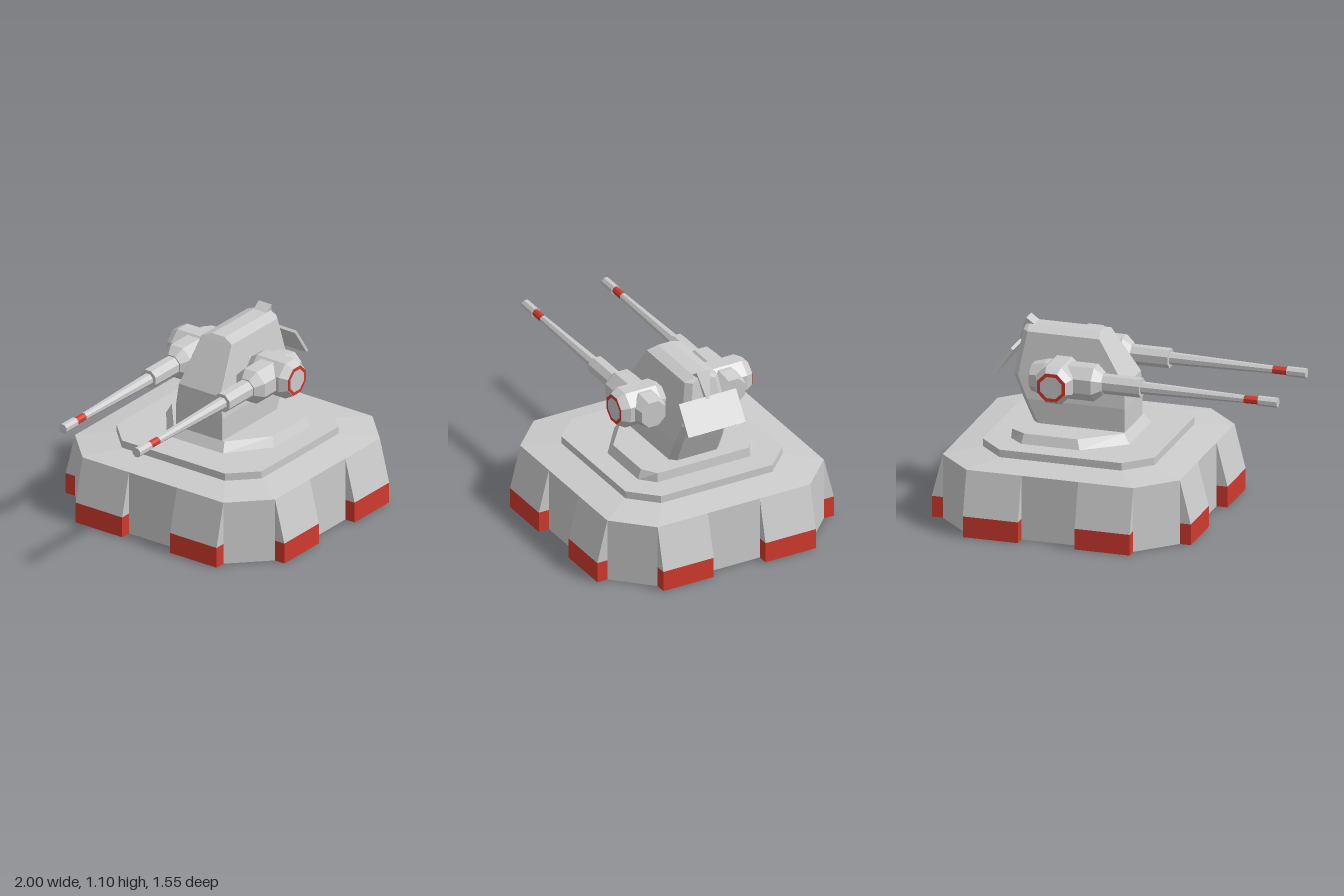
import * as THREE from 'three';

const grey = new THREE.MeshStandardMaterial({ color: 0xcccccc, flatShading: true });
const red = new THREE.MeshStandardMaterial({ color: 0xd03a2e, flatShading: true });

// Closed solid through equal-length rings (anticlockwise seen from above), lowest first
function loft(rings) {
  const n = rings[0].length, pos = [];
  const tri = (...p) => p.forEach(v => pos.push(...v));
  for (let k = 0; k < rings.length - 1; k++) {
    const a = rings[k], b = rings[k + 1];
    for (let i = 0; i < n; i++) {
      const j = (i + 1) % n;
      tri(a[i], a[j], b[j]);
      tri(a[i], b[j], b[i]);
    }
  }
  const lo = rings[0], hi = rings[rings.length - 1];
  for (let i = 1; i < n - 1; i++) {
    tri(hi[0], hi[i], hi[i + 1]);
    tri(lo[0], lo[i + 1], lo[i]);
  }
  const g = new THREE.BufferGeometry();
  g.setAttribute('position', new THREE.Float32BufferAttribute(pos, 3));
  g.computeVertexNormals();
  return g;
}

// Chamfered rectangle: x0..x1 by -w..w, chamfers reaching xL / xR along x and cL / cR along z
const octagon = (y, x0, xL, xR, x1, w, cL, cR = cL) => [
  [x1, y, cR], [x1, y, -cR], [xR, y, -w], [xL, y, -w],
  [x0, y, -cL], [x0, y, cL], [xL, y, w], [xR, y, w]];

const rect = (y, x0, x1, z0, z1) => [[x1, y, z1], [x1, y, z0], [x0, y, z0], [x0, y, z1]];

// Eight-sided turned part; profile is [flat radius, distance along axis]
function turned(profile) {
  const k = 1 / Math.cos(Math.PI / 8);
  return new THREE.LatheGeometry(profile.map(([r, d]) => new THREE.Vector2(r * k, d)), 8, Math.PI / 8);
}
const alongX = profile => turned(profile).rotateZ(-Math.PI / 2);
const alongZ = profile => turned(profile).rotateX(Math.PI / 2);

function add(parent, name, geometry, material = grey) {
  const mesh = new THREE.Mesh(geometry, material);
  mesh.name = name;
  parent.add(mesh);
  return mesh;
}

// Base with eight buttresses, centred on x = 0.22
function makeBase() {
  const base = new THREE.Group();
  base.name = 'base';
  add(base, 'foundation', loft([
    octagon(0, -0.49, -0.28, 0.72, 0.93, 0.71, 0.5),
    octagon(0.385, -0.49, -0.28, 0.72, 0.93, 0.71, 0.5),
    octagon(0.41, -0.295, -0.145, 0.585, 0.735, 0.515, 0.365)]));
  add(base, 'middleStep', loft([0.41, 0.455].map(y =>
    octagon(y, -0.295, -0.145, 0.585, 0.735, 0.515, 0.365))));
  add(base, 'upperStep', loft([
    octagon(0.455, -0.09, 0.15, 0.5, 0.585, 0.383, 0.2, 0.305),
    octagon(0.51, -0.05, 0.17, 0.49, 0.58, 0.358, 0.18, 0.3)]));

  for (let side = 0; side < 4; side++) {
    const row = new THREE.Group();
    row.name = 'buttressRow';
    row.position.x = 0.22;
    row.rotation.y = side * Math.PI / 2;
    base.add(row);
    for (const c of [-0.335, 0.335]) {
      const ring = (y, z) => rect(y, c - 0.165, c + 0.165, 0.66, z);
      add(row, 'buttressFoot', loft([ring(0, 0.776), ring(0.125, 0.776)]), red);
      add(row, 'buttress', loft([ring(0.125, 0.776), ring(0.385, 0.71)]));
    }
  }
  return base;
}

// Turret housing, rear plate and its bracket
function makeTurret() {
  const turret = new THREE.Group();
  turret.name = 'turret';
  const level = (y, x0, x1, w, cut = 0.035) =>
    octagon(y, x0, x0 + 0.002, x1 - cut, x1, w, w - 0.002, w - cut);
  add(turret, 'housing', loft([
    level(0.51, -0.05, 0.505, 0.165),
    level(0.65, -0.05, 0.57, 0.165),
    level(0.78, -0.045, 0.63, 0.148),
    level(1.035, 0.118, 0.587, 0.108),
    level(1.06, 0.135, 0.582, 0.045, 0.02)]));

  const plate = add(turret, 'rearPlate', new THREE.BoxGeometry(0.018, 0.2, 0.375));
  plate.position.set(0.675, 0.865, 0);
  plate.rotation.z = Math.atan2(0.115, 0.17);

  // Bracket flares from the plate to a slanted top
  add(turret, 'plateBracket', loft([
    [[0.635, 0.94, 0.01], [0.635, 0.94, -0.01], [0.59, 0.93, -0.01], [0.59, 0.93, 0.01]],
    [[0.58, 1.095, 0.045], [0.58, 1.095, -0.045], [0.525, 1.055, -0.045], [0.525, 1.055, 0.045]]]));
  return turret;
}

// One gun, built around its barrel axis and pointing to -x
function makeGun(side) {
  const gun = new THREE.Group();
  gun.name = side > 0 ? 'leftGun' : 'rightGun';
  gun.position.set(0, 0.83, side * 0.262);

  add(gun, 'breech', alongX([[0, 0.04], [0.06, 0.04], [0.1, 0.09], [0.1, 0.385], [0.078, 0.468], [0, 0.468]]));
  add(gun, 'sleeve', alongX([[0, -0.185], [0.054, -0.185], [0.054, 0.05], [0, 0.05]]));
  add(gun, 'barrel', alongX([[0, -0.8], [0.021, -0.8], [0.034, -0.18], [0, -0.18]]));
  add(gun, 'barrelBand', alongX([[0, -0.89], [0.021, -0.89], [0.021, -0.8], [0, -0.8]]), red);
  add(gun, 'muzzle', alongX([[0, -1], [0.027, -1], [0.027, -0.885], [0, -0.885]]));

  // Cross drum with a ringed outer end
  const drum = new THREE.Group();
  drum.name = 'crossDrum';
  drum.position.set(0.305, 0, side * 0.02);
  drum.rotation.y = side > 0 ? 0 : Math.PI;
  gun.add(drum);
  add(drum, 'drumBody', alongZ([[0, -0.148], [0.082, -0.148], [0.11, -0.1], [0.11, 0.1], [0.085, 0.147], [0, 0.147]]));
  add(drum, 'drumRing', alongZ([[0.083, 0.145], [0.083, 0.149], [0.064, 0.149]]), red);
  add(drum, 'drumCap', alongZ([[0.064, 0.145], [0.064, 0.149], [0, 0.149]]));
  return gun;
}

export function createModel() {
  const model = new THREE.Group();
  model.name = 'gunTurret';
  model.add(makeBase(), makeTurret(), makeGun(1), makeGun(-1));
  return model;
}
